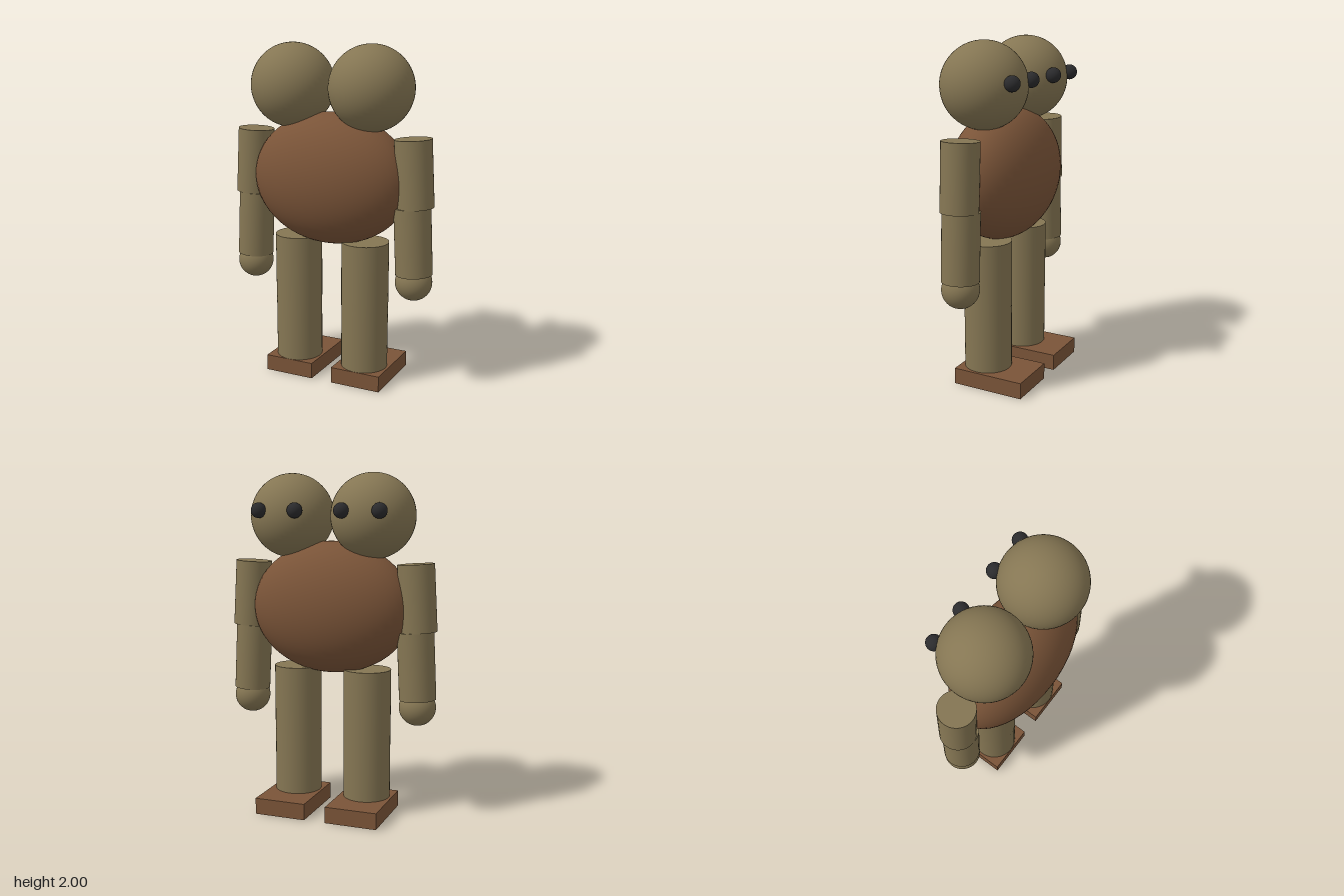
import * as THREE from 'three';

export function createModel() {
  const model = new THREE.Group();
  const material = (name, color) => {
    const m = new THREE.MeshStandardMaterial({ color });
    m.name = name;
    return m;
  };
  const olive = material('olive', 0x857653);
  const brown = material('brown', 0x7a5438);
  const black = material('black', 0x2b2b2d);
  const Z = 0.012; // shared depth centre of the body, heads and limbs

  const add = (name, geometry, mat, x, y, z) => {
    const mesh = new THREE.Mesh(geometry, mat);
    mesh.name = name;
    mesh.position.set(x, y, z);
    model.add(mesh);
    return mesh;
  };
  const ball = (r) => new THREE.SphereGeometry(r, 48, 32);

  // Capped cylinder running between two points in the x-y plane
  const limb = (name, r, x0, y0, x1, y1) => {
    const length = Math.hypot(x1 - x0, y1 - y0);
    const mesh = add(name, new THREE.CylinderGeometry(r, r, length, 40), olive,
      (x0 + x1) / 2, (y0 + y1) / 2, Z);
    mesh.rotation.z = Math.atan2(x0 - x1, y1 - y0);
  };

  // Egg-shaped torso
  add('torso', ball(1), brown, 0, 1.222, Z).scale.set(0.49, 0.388, 0.272);

  for (const [side, s] of [['left', 1], ['right', -1]]) {
    // Head with two eyes on the -z face
    add(side + 'Head', ball(0.246), olive, s * 0.25, 1.754, Z);
    add(side + 'HeadOuterEye', ball(0.044), black, s * 0.361, 1.785, -0.221);
    add(side + 'HeadInnerEye', ball(0.044), black, s * 0.139, 1.785, -0.221);

    // Arm
    limb(side + 'UpperArm', 0.107, s * 0.527, 1.1, s * 0.505, 1.486);
    limb(side + 'Forearm', 0.107, s * 0.527, 0.707, s * 0.508, 1.1);
    add(side + 'Hand', ball(0.107), olive, s * 0.526, 0.66, Z);

    // Leg
    limb(side + 'Thigh', 0.14, s * 0.22, 0.473, s * 0.22, 0.865);
    limb(side + 'Shin', 0.139, s * 0.22, 0.08, s * 0.22, 0.473);
    add(side + 'Foot', new THREE.BoxGeometry(0.31, 0.096, 0.436), brown, s * 0.22, 0.048, -0.065);
  }
  return model;
}
